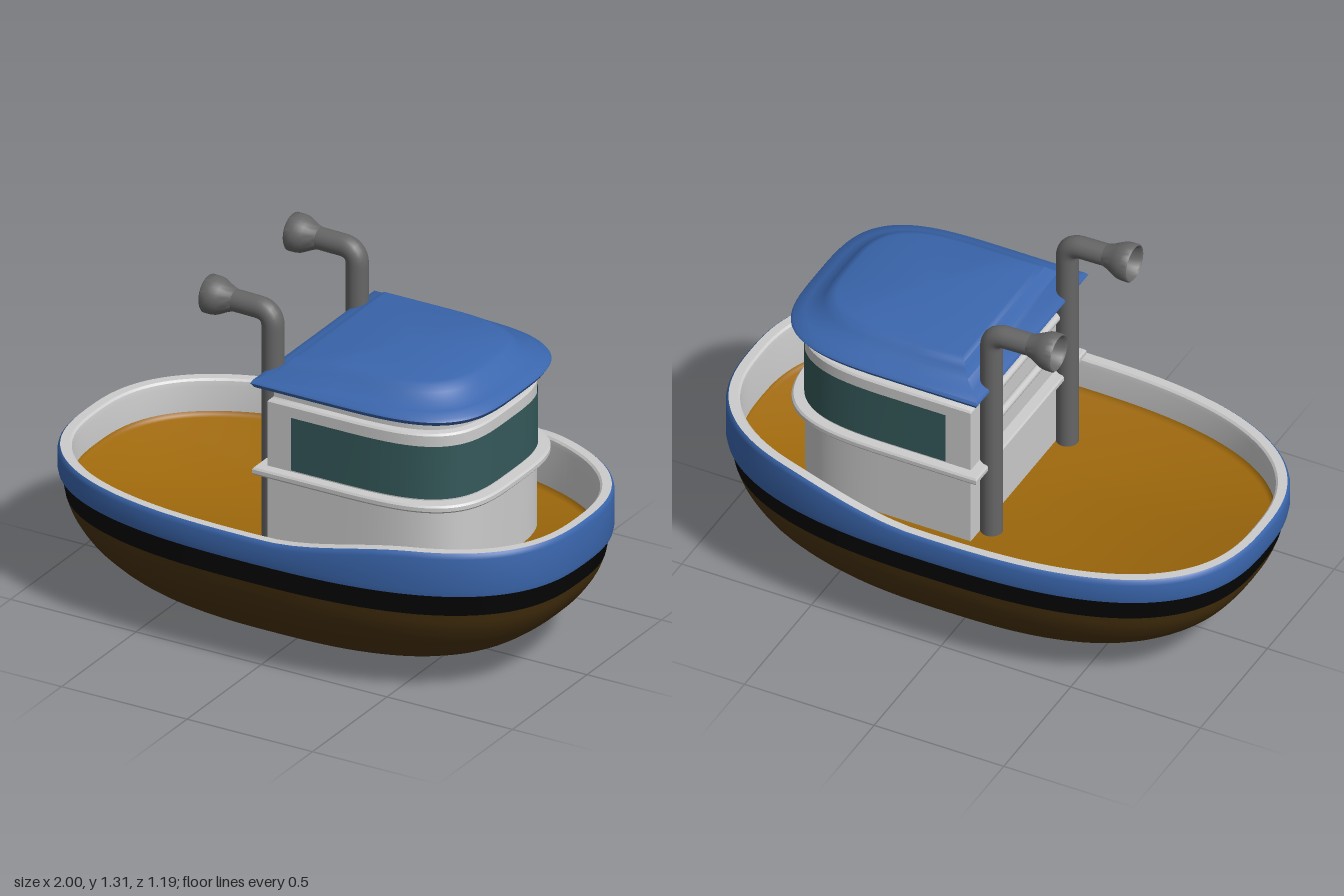
import * as THREE from 'three';
import { toCreasedNormals } from 'three/addons/utils/BufferGeometryUtils.js';

const BLUE = 0x3a66ad, BROWN = 0x48320e, BLACK = 0x040404, DECK = 0x9f690c, GLASS = 0x35595a, PIPE = 0x666666;

function part(name, geometry, color = 0xcccccc) {
  const material = new THREE.MeshStandardMaterial({ color, side: THREE.DoubleSide });
  const mesh = new THREE.Mesh(geometry, material);
  mesh.name = name;
  return mesh;
}

// Ring collapsed to its centre, used to close a loft
function collapse(ring) {
  const box = new THREE.Box3().setFromPoints(ring);
  const c = box.getCenter(new THREE.Vector3());
  return ring.map(() => c);
}

// Skin through rings of equal point count, listed from below upward on the outside
function loft(rings, { closed = true, bottom = false, top = false, crease = 0.6 } = {}) {
  const all = [...rings];
  if (bottom) all.unshift(collapse(rings[0]));
  if (top) all.push(collapse(rings[rings.length - 1]));
  const n = all[0].length, index = [];
  for (let r = 0; r < all.length - 1; r++) {
    for (let i = 0; i < (closed ? n : n - 1); i++) {
      const a = r * n + i, b = r * n + (i + 1) % n;
      const isBottom = bottom && r === 0, isTop = top && r === all.length - 2;
      if (!isBottom) index.push(a, a + n, b);
      if (!isTop) index.push(b, a + n, b + n);
    }
  }
  const g = new THREE.BufferGeometry().setFromPoints(all.flat());
  g.setIndex(index);
  return toCreasedNormals(g, crease);
}

const signedPow = (v, e) => Math.sign(v) * Math.pow(Math.abs(v), e);

// Hull plan: a full, rounded superellipse
const HALF_WIDTH = 0.597;
const hullPlan = Array.from({ length: 128 }, (_, i) => {
  const t = 2 * Math.PI * i / 128;
  return [signedPow(Math.cos(t), 2 / 2.6), HALF_WIDTH * signedPow(Math.sin(t), 2 / 2.6)];
});

// Gunwale height, rising toward the bow
const sheer = x => 0.525 + 0.067 * THREE.MathUtils.smoothstep(x, 0.05, 0.62);

const scaledRing = (s, y) => hullPlan.map(([x, z]) => new THREE.Vector3(x * s, y, z * s));
const insetRing = (d, y) => hullPlan.map(([x, z]) =>
  new THREE.Vector3(x * (1 - d), typeof y === 'function' ? y(x) : y, z * (1 - d / HALF_WIDTH)));

// Cabin plan: flat aft face, rounded front
function cabinRing(aft, front, halfWidth, y) {
  const ring = [], mid = 0.2, steps = 48;
  ring.push(new THREE.Vector3(aft, y, -halfWidth));
  for (let i = 0; i <= steps; i++) {
    const t = -Math.PI / 2 + Math.PI * i / steps;
    const c = Math.max(0, Math.cos(t));
    ring.push(new THREE.Vector3(
      mid + (front - mid) * signedPow(c, 2 / 3.5), y, halfWidth * signedPow(Math.sin(t), 2 / 3.5)));
  }
  ring.push(new THREE.Vector3(aft, y, halfWidth));
  return ring;
}
const cabinLoft = (rows, options) => loft(rows.map(r => cabinRing(...r)), options);

function createHull() {
  const hull = new THREE.Group();
  hull.name = 'hull';
  const curve = new THREE.SplineCurve([
    [0.15, 0.003], [0.37, 0.016], [0.56, 0.05], [0.74, 0.108], [0.87, 0.195], [0.94, 0.28], [0.97, 0.348],
  ].map(p => new THREE.Vector2(...p)));
  hull.add(part('lowerHull', loft(curve.getPoints(24).map(p => scaledRing(p.x, p.y)), { bottom: true }), BROWN));
  hull.add(part('waterline', loft([scaledRing(0.97, 0.348), scaledRing(0.987, 0.43)]), BLACK));
  hull.add(part('bulwark', loft([
    insetRing(0.014, 0.425), insetRing(0.004, 0.429), insetRing(0, 0.45),
    insetRing(0, x => sheer(x) - 0.02), insetRing(0.003, x => sheer(x) - 0.006), insetRing(0.009, sheer),
  ]), BLUE));
  hull.add(part('innerBulwark', loft([
    insetRing(0.009, sheer), insetRing(0.04, sheer), insetRing(0.047, x => sheer(x) - 0.007),
    insetRing(0.05, x => sheer(x) - 0.025), insetRing(0.05, 0.385),
  ])));
  hull.add(part('deck', loft([
    insetRing(0.05, 0.405), insetRing(0.054, 0.394), insetRing(0.065, 0.388),
  ], { top: true, crease: 1 }), DECK));
  return hull;
}

function createCabin() {
  const cabin = new THREE.Group();
  cabin.name = 'cabin';
  cabin.add(part('cabinWalls', cabinLoft([
    [-0.05, 0.69, 0.375, 0.38], [-0.05, 0.69, 0.375, 0.94], [-0.045, 0.684, 0.369, 0.947],
    [-0.04, 0.662, 0.348, 0.95], [-0.04, 0.662, 0.348, 0.99],
  ])));
  cabin.add(part('cabinLedge', cabinLoft([
    [-0.05, 0.69, 0.375, 0.664], [-0.085, 0.727, 0.407, 0.666], [-0.09, 0.733, 0.412, 0.673],
    [-0.09, 0.733, 0.412, 0.687], [-0.085, 0.727, 0.407, 0.694], [-0.05, 0.69, 0.375, 0.696],
  ])));
  cabin.add(part('windowBand', cabinLoft([
    [0.045, 0.693, 0.378, 0.702], [0.045, 0.693, 0.378, 0.902],
  ], { closed: false }), GLASS));
  cabin.add(part('roof', cabinLoft([
    [-0.05, 0.69, 0.37, 0.985], [-0.085, 0.724, 0.404, 0.998], [-0.095, 0.735, 0.416, 1.015],
    [-0.09, 0.728, 0.409, 1.025], [-0.06, 0.69, 0.375, 1.036], [-0.02, 0.655, 0.34, 1.055],
    [0.0, 0.632, 0.316, 1.075], [0.013, 0.615, 0.299, 1.092], [0.03, 0.595, 0.28, 1.1],
  ], { bottom: true, top: true, crease: 0.9 }), BLUE));
  // Rails across the aft wall
  for (const y of [0.81, 0.935]) {
    const rail = part('aftRail', new THREE.CylinderGeometry(0.015, 0.015, 0.57, 12));
    rail.rotation.x = Math.PI / 2;
    rail.position.set(-0.06, y, 0);
    cabin.add(rail);
  }
  return cabin;
}

function createPipe(z) {
  const pipe = new THREE.Group();
  pipe.name = 'exhaustPipe';
  const v = (x, y) => new THREE.Vector3(x, y, 0);
  const path = new THREE.CurvePath();
  path.add(new THREE.LineCurve3(v(-0.083, 0.38), v(-0.083, 1.18)));
  path.add(new THREE.QuadraticBezierCurve3(v(-0.083, 1.18), v(-0.083, 1.238), v(-0.14, 1.24)));
  path.add(new THREE.LineCurve3(v(-0.14, 1.24), v(-0.235, 1.242)));
  pipe.add(part('pipe', new THREE.TubeGeometry(path, 80, 0.04, 20), PIPE));
  // Flared open mouth, pointing aft
  const profile = [[0.04, 0], [0.046, 0.02], [0.058, 0.045], [0.066, 0.062], [0.069, 0.08], [0.069, 0.106],
    [0.065, 0.11], [0.058, 0.104], [0.052, 0.07], [0.03, 0.015], [0, 0.01]];
  const mouth = part('pipeMouth', toCreasedNormals(
    new THREE.LatheGeometry(profile.map(p => new THREE.Vector2(...p)), 28), 0.8), PIPE);
  mouth.rotation.z = Math.PI / 2;
  mouth.position.set(-0.232, 1.242, 0);
  pipe.add(mouth);
  pipe.position.z = z;
  return pipe;
}

export function createModel() {
  const boat = new THREE.Group();
  boat.name = 'tugboat';
  boat.add(createHull(), createCabin(), createPipe(0.283), createPipe(-0.283));
  return boat;
}
